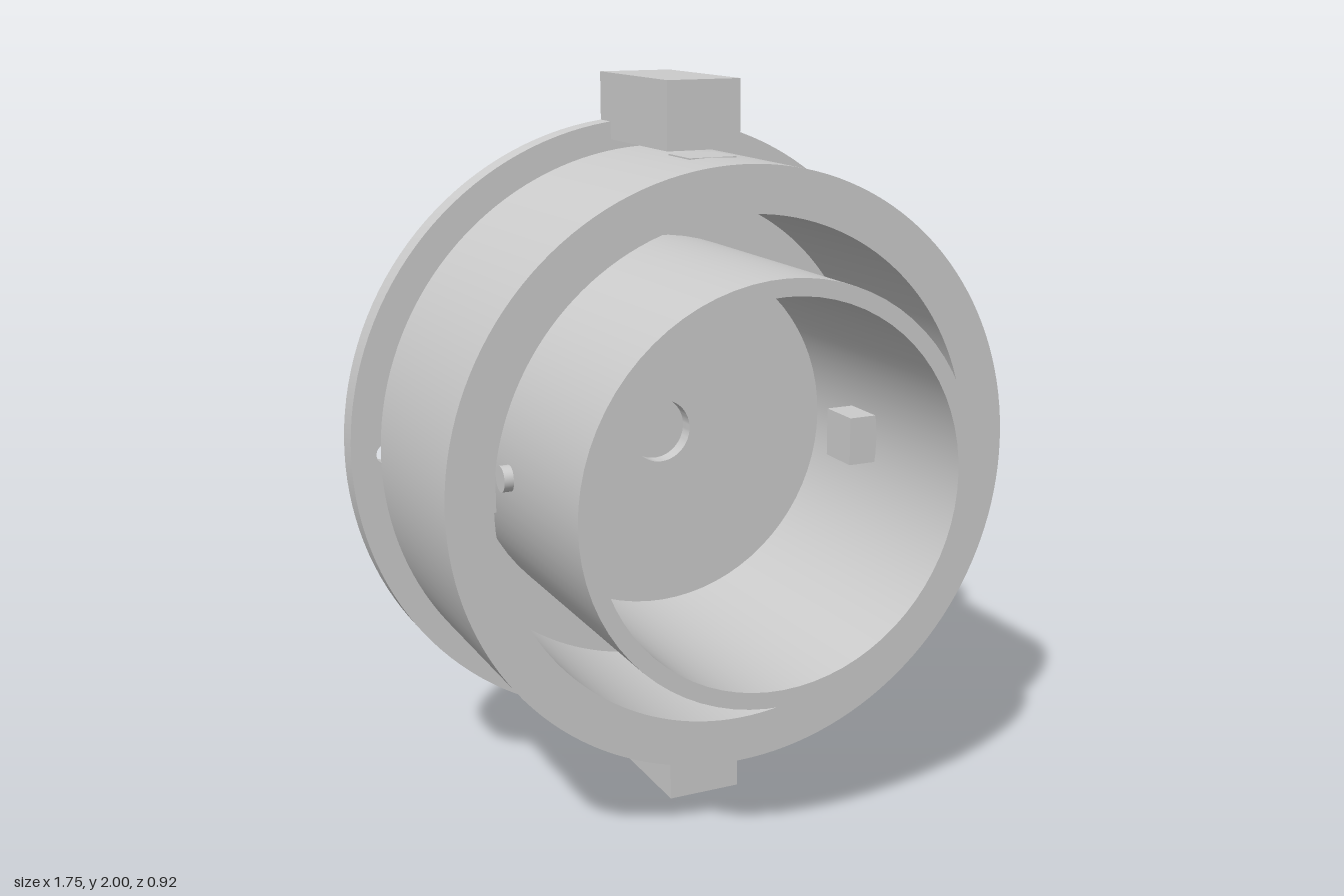
import * as THREE from 'three';
import { toCreasedNormals } from 'three/addons/utils/BufferGeometryUtils.js';

const CY = 1; // height of the common axis, which runs along z
const PIVOT_Z = -0.02;

export function createModel() {
  const model = new THREE.Group();
  model.name = 'gimbal';
  const material = new THREE.MeshStandardMaterial({ color: 0xcccccc });

  function add(name, geometry, x = 0, y = 0, z = 0) {
    const mesh = new THREE.Mesh(geometry, material);
    mesh.name = name;
    mesh.position.set(x, CY + y, z);
    model.add(mesh);
    return mesh;
  }

  // Round plate from z0 to z1 with round holes given as [x, radius]
  function disc(radius, holes, z0, z1) {
    const shape = new THREE.Shape().absarc(0, 0, radius, 0, Math.PI * 2, false);
    for (const [x, r] of holes) {
      shape.holes.push(new THREE.Path().absarc(x, 0, r, 0, Math.PI * 2, true));
    }
    const geometry = new THREE.ExtrudeGeometry(shape, {
      depth: z1 - z0, bevelEnabled: false, curveSegments: 72,
    });
    geometry.translate(0, 0, z0);
    return toCreasedNormals(geometry, 0.5);
  }

  // Back plate with two screw holes, and the open outer ring
  add('backPlate', disc(0.875, [[-0.775, 0.03], [0.775, 0.03]], -0.455, -0.385));
  add('outerRing', disc(0.805, [[0, 0.68]], -0.34, 0.22));

  // Inner cup with a round hole in its floor
  const profile = [
    [0.09, -0.34], [0.555, -0.34], [0.555, 0.46], [0.51, 0.46],
    [0.51, -0.295], [0.09, -0.295], [0.09, -0.34],
  ].map(([r, z]) => new THREE.Vector2(r, z));
  const cup = new THREE.LatheGeometry(profile, 72);
  cup.rotateX(Math.PI / 2);
  add('innerCup', toCreasedNormals(cup, 0.5));

  // Radial pin between two distances from the axis
  const pin = (r0, r1) => new THREE.CylinderGeometry(0.035, 0.035, r1 - r0, 24);

  for (const s of [1, -1]) {
    const side = s > 0 ? 'left' : 'right';
    const end = s > 0 ? 'top' : 'bottom';

    // Bracket arms on the plate, with the ring's pivot blocks and pins
    add(end + 'Arm', new THREE.BoxGeometry(0.21, 0.18, 0.445), 0, s * 0.91, -0.2325);
    add(end + 'PivotBlock', new THREE.BoxGeometry(0.135, 0.066, 0.13), 0, s * 0.773, PIVOT_Z);
    add(end + 'Pin', pin(0.655, 0.75), 0, s * 0.7025, PIVOT_Z);

    // Blocks inside the ring and the cup, and the cup's side pins
    add(side + 'RingBlock', new THREE.BoxGeometry(0.085, 0.135, 0.13), s * 0.6575, 0, PIVOT_Z);
    add(side + 'CupBlock', new THREE.BoxGeometry(0.1, 0.135, 0.13), s * 0.475, 0, PIVOT_Z);
    add(side + 'Pin', pin(0.53, 0.58), s * 0.555, 0, PIVOT_Z).rotation.z = Math.PI / 2;
  }
  return model;
}
